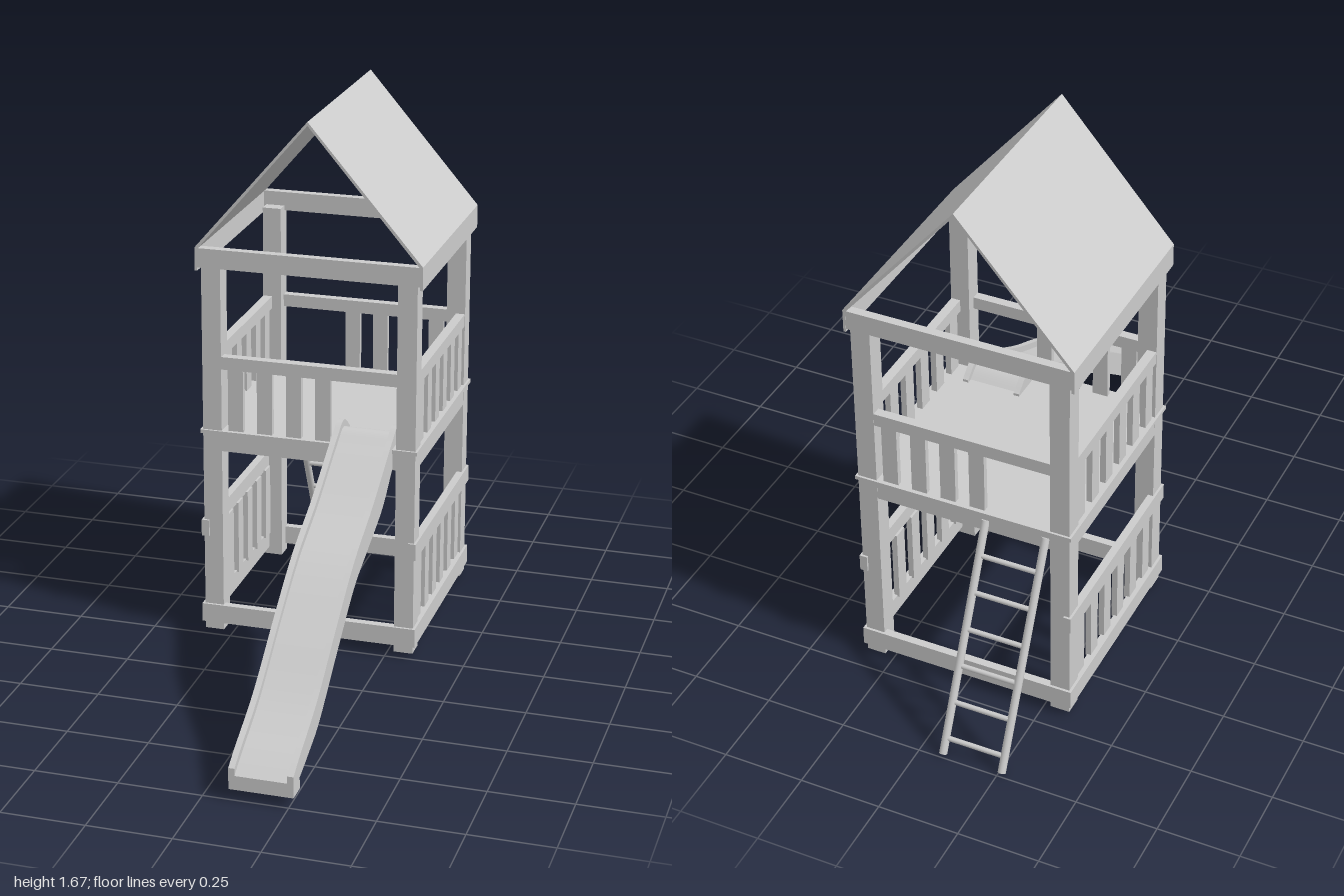
import * as THREE from 'three';

const mat = new THREE.MeshStandardMaterial({ color: 0xcccccc, side: THREE.DoubleSide });
const CZ = -0.35; // centre of the tower in z

export function createModel() {
  const root = new THREE.Group();
  const group = (name) => {
    const g = new THREE.Group();
    g.name = name;
    root.add(g);
    return g;
  };
  const add = (parent, name, geo) => {
    const m = new THREE.Mesh(geo, mat);
    m.name = name;
    parent.add(m);
    return m;
  };
  // box given by its limits on each axis
  const box = (parent, name, x0, x1, y0, y1, z0, z1) =>
    add(parent, name, new THREE.BoxGeometry(x1 - x0, y1 - y0, z1 - z0))
      .position.set((x0 + x1) / 2, (y0 + y1) / 2, (z0 + z1) / 2);
  // extrude a (z, y) shape along x, between x0 and x1
  const extrudeX = (parent, name, shape, x0, x1) => {
    const geo = new THREE.ExtrudeGeometry(shape, { depth: x1 - x0, bevelEnabled: false, curveSegments: 28 });
    geo.rotateY(-Math.PI / 2).translate(x1, 0, 0);
    return add(parent, name, geo);
  };

  // corner posts
  const posts = group('posts');
  for (const sx of [-1, 1]) for (const sz of [-1, 1])
    add(posts, 'post', new THREE.BoxGeometry(0.06, 1.2, 0.06))
      .position.set(sx * 0.305, 0.615, CZ + sz * 0.305);

  // deck plate and the beams under it
  const deck = group('deck');
  box(deck, 'deckPlate', -0.342, 0.342, 0.67, 0.682, CZ - 0.342, CZ + 0.342);

  // members that run between or across the posts, on all four sides
  const beams = group('beams');
  const railings = group('railings');
  for (const s of [-1, 1]) {
    const along = (parent, name, half, y0, y1, d0, d1) => { // front and back
      const [a, b] = s > 0 ? [d0, d1] : [-d1, -d0];
      box(parent, name, -half, half, y0, y1, CZ + a, CZ + b);
    };
    const across = (parent, name, half, y0, y1, d0, d1) => { // left and right
      const [a, b] = s > 0 ? [d0, d1] : [-d1, -d0];
      box(parent, name, a, b, y0, y1, CZ - half, CZ + half);
    };
    for (const put of [along, across]) {
      put(beams, 'groundBeam', put === along ? 0.343 : 0.318, 0.04, 0.1, 0.318, 0.343);
      put(beams, 'deckBeam', 0.276, 0.615, 0.67, 0.305, 0.334);
      put(railings, 'topRail', 0.276, 0.88, 0.92, 0.305, 0.334);
    }
    along(beams, 'roofBeam', 0.345, 1.2, 1.26, 0.315, 0.342);
    across(railings, 'lowerRail', 0.342, 0.33, 0.383, 0.318, 0.342);

    // side balusters, above and below the deck
    for (let i = 0; i < 6; i++) {
      const z = CZ + (i - 2.5) * 0.096;
      for (const [y0, y1] of [[0.68, 0.885], [0.095, 0.335]]) {
        const x = s * 0.32;
        box(railings, 'sideBaluster', x - 0.009, x + 0.009, y0, y1, z - 0.024, z + 0.024);
      }
    }
    // front and back balusters, leaving a gap for the slide and the ladder
    for (let i = 0; i < 4; i++) {
      const x = s * (-0.232 + i * 0.092), z = CZ + s * 0.32;
      box(railings, 'endBaluster', x - 0.024, x + 0.024, 0.68, 0.885, z - 0.009, z + 0.009);
    }
  }

  // thin folded roof with turned-down eaves
  const roof = group('roof');
  const T = 0.008;
  const fold = new THREE.Shape([
    [-0.352, 1.19], [-0.352, 1.262], [0, 1.672], [0.352, 1.262], [0.352, 1.19],
    [0.352 - T, 1.19], [0.352 - T, 1.257], [0, 1.66], [-0.352 + T, 1.257], [-0.352 + T, 1.19],
  ].map(([x, y]) => new THREE.Vector2(x, y)));
  const roofGeo = new THREE.ExtrudeGeometry(fold, { depth: 0.686, bevelEnabled: false });
  add(roof, 'roofSheet', roofGeo.translate(0, 0, CZ - 0.343));

  // slide: a bed between two raised walls, following the same curve
  const slide = group('slide');
  const top = [[-0.15, 0.69], [-0.08, 0.735], [0, 0.7], [0.2, 0.585], [0.4, 0.488],
    [0.58, 0.365], [0.77, 0.225], [0.94, 0.135], [1, 0.1]];
  const under = [[0.942, 0.07], [0.86, 0.1], [0.75, 0.15], [0.58, 0.277], [0.4, 0.405],
    [0.25, 0.468], [0.1, 0.53], [0, 0.605], [-0.06, 0.66]];
  const toV = (drop) => ([z, y]) => new THREE.Vector2(z, y - drop);
  const slideProfile = (drop) => {
    const s = new THREE.Shape();
    s.moveTo(-0.15, 0.69 - drop);
    s.splineThru(top.slice(1).map(toV(drop)));
    s.lineTo(1, 0.035);
    s.lineTo(0.938, 0.035);
    s.lineTo(0.942, 0.07);
    s.splineThru(under.slice(1).map(toV(0)));
    s.lineTo(-0.15, 0.665);
    return s;
  };
  extrudeX(slide, 'slideBed', slideProfile(0.022), 0.09, 0.25);
  extrudeX(slide, 'slideWall', slideProfile(0), 0.076, 0.094);
  extrudeX(slide, 'slideWall', slideProfile(0), 0.246, 0.264);

  // leaning ladder
  const ladder = group('ladder');
  const foot = new THREE.Vector3(0, 0.008, -0.987), head = new THREE.Vector3(0, 0.652, -0.682);
  const dir = head.clone().sub(foot);
  for (const x of [-0.26, -0.072]) {
    const rail = add(ladder, 'ladderRail', new THREE.CylinderGeometry(0.012, 0.012, dir.length(), 16));
    rail.position.copy(foot).lerp(head, 0.5).setX(x);
    rail.quaternion.setFromUnitVectors(new THREE.Vector3(0, 1, 0), dir.clone().normalize());
  }
  for (let i = 0; i < 6; i++) {
    const rung = add(ladder, 'ladderRung', new THREE.CylinderGeometry(0.008, 0.008, 0.188, 12));
    rung.rotation.z = Math.PI / 2;
    rung.position.copy(foot).lerp(head, (0.045 + i * 0.102) / 0.652).setX(-0.166);
  }
  return root;
}
